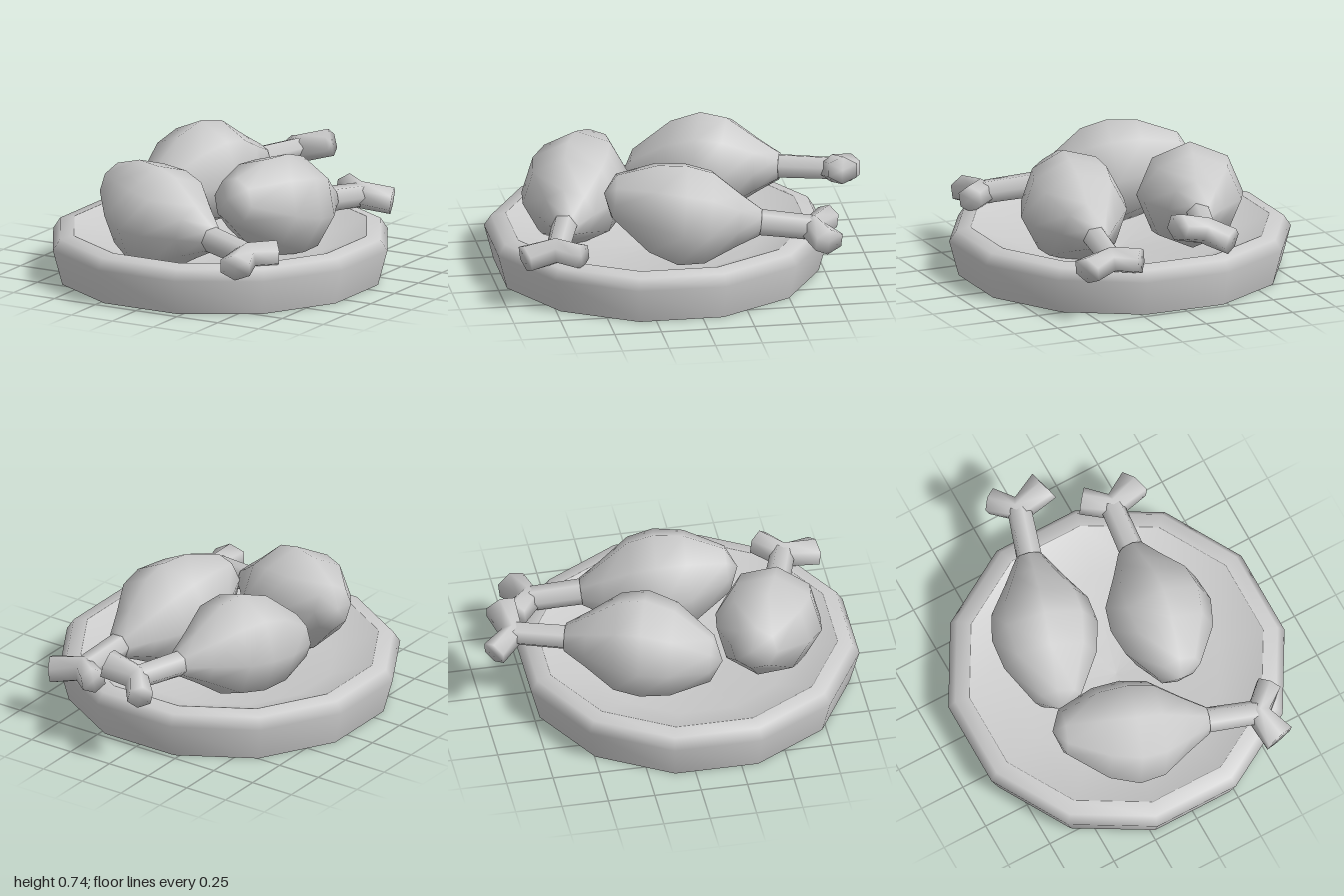
import * as THREE from 'three';
import { mergeVertices } from 'three/addons/utils/BufferGeometryUtils.js';

const material = new THREE.MeshStandardMaterial({ color: 0xcccccc });

function addMesh(parent, name, geometry) {
  const mesh = new THREE.Mesh(geometry, material);
  mesh.name = name;
  parent.add(mesh);
  return mesh;
}

const profile = (pairs) => pairs.map(([r, y]) => new THREE.Vector2(r, y));

// Move every vertex by a rule, then weld and shade smoothly
function reshape(geometry, rule) {
  const pos = geometry.attributes.position;
  const v = new THREE.Vector3();
  for (let i = 0; i < pos.count; i++) {
    rule(v.fromBufferAttribute(pos, i));
    pos.setXYZ(i, v.x, v.y, v.z);
  }
  geometry.deleteAttribute('normal');
  geometry.deleteAttribute('uv');
  const welded = mergeVertices(geometry, 1e-4);
  welded.computeVertexNormals();
  return welded;
}

// Drumstick: origin at the collar, bone along +x, meat along -x
function createDrumstick(name, position, yaw, pitch, roll, meatRoll) {
  const group = new THREE.Group();
  group.name = name;

  // Meat, fuller on one side towards the butt
  const meat = new THREE.LatheGeometry(profile([
    [0, -0.84], [0.125, -0.785], [0.25, -0.58], [0.285, -0.42],
    [0.26, -0.28], [0.15, -0.12], [0.075, 0], [0, 0.002],
  ]), 8);
  meat.rotateZ(-Math.PI / 2);
  addMesh(group, 'meat', reshape(meat, (v) => {
    const shift = Math.max(0, -v.x - 0.48) * 0.15;
    v.y += shift;
    v.z -= shift;
  })).rotation.x = meatRoll;

  const bone = new THREE.CylinderGeometry(0.065, 0.07, 0.34, 6, 1, true);
  bone.rotateZ(-Math.PI / 2);
  bone.translate(0.12, 0, 0);
  addMesh(group, 'bone', bone);

  // Forked knuckle: a short bar bent into a V with flared slanted ends
  const knuckle = new THREE.CylinderGeometry(1, 1, 2, 6, 2);
  knuckle.rotateX(Math.PI / 2);
  addMesh(group, 'knuckle', reshape(knuckle, (v) => {
    const end = Math.abs(v.z);
    const across = v.x * (end ? (v.z > 0 ? 0.08 : 0.062) : 0.055);
    v.y *= 0.073;
    v.z *= (v.z > 0 ? 0.16 : 0.14) - across * 0.6;
    v.x = 0.28 + end * 0.082 + across;
  }));

  group.position.set(...position);
  group.rotation.set(roll, yaw, pitch, 'YZX');
  return group;
}

// Twelve-sided shallow dish
function createPlate() {
  const group = new THREE.Group();
  group.name = 'plate';
  const start = Math.PI / 12;
  addMesh(group, 'plateRim', new THREE.LatheGeometry(profile([
    [0.865, 0], [0.916, 0.19], [0.878, 0.248], [0.80, 0.262],
  ]), 12, start));
  addMesh(group, 'plateBowl', new THREE.LatheGeometry(profile([
    [0.80, 0.262], [0.56, 0.165], [0, 0.115],
  ]), 12, start));
  const base = new THREE.CircleGeometry(0.865, 12, start);
  base.rotateX(Math.PI / 2);
  addMesh(group, 'plateBase', base);
  group.position.z = 0.115;
  return group;
}

export function createModel() {
  const model = new THREE.Group();
  model.name = 'drumstickPlatter';
  model.add(
    createPlate(),
    createDrumstick('rightDrumstick', [-0.15, 0.46, -0.57], 1.265, 0.01, -0.3, -2.06),
    createDrumstick('leftDrumstick', [0.365, 0.345, -0.385], 1.45, -0.12, 0.1, 0),
    createDrumstick('frontDrumstick', [0.255, 0.345, 0.65], -0.294, -0.12, 0.1, 0),
  );
  return model;
}
